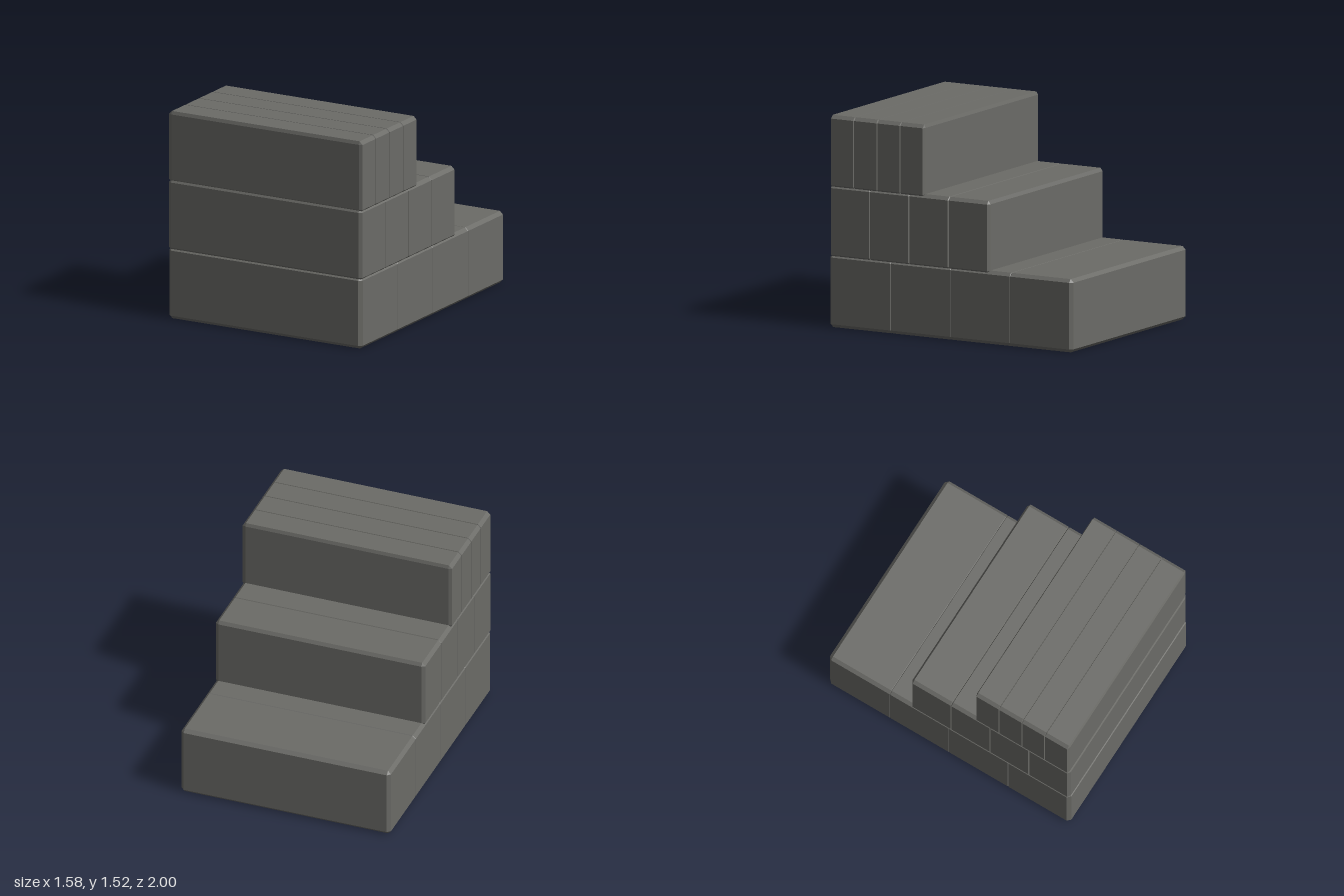
import * as THREE from 'three';
import { ConvexGeometry } from 'three/addons/geometries/ConvexGeometry.js';

// Box with bevelled edges; the bevel may differ along each axis
function bevelledBox(size, bevel) {
  const points = [];
  for (const sx of [-1, 1]) for (const sy of [-1, 1]) for (const sz of [-1, 1]) {
    const sign = [sx, sy, sz];
    for (let face = 0; face < 3; face++) {
      // full extent on one axis, pulled in by the bevel on the other two
      const p = sign.map((s, i) => s * (size[i] / 2 - (i === face ? 0 : bevel[i])));
      points.push(new THREE.Vector3(...p));
    }
  }
  return new ConvexGeometry(points);
}

export function createModel() {
  const group = new THREE.Group();
  group.name = 'blockSteps';
  const stone = new THREE.MeshStandardMaterial({ color: 0x6b6b67 });
  stone.name = 'grey stone';

  const width = 1.58, height = 0.525, rise = 0.4975, bevel = 0.024;

  // Each step is a row of four slightly overlapping blocks
  const steps = [
    { name: 'bottomStep', front: 1.0, depth: 0.53, pitch: 0.49 },
    { name: 'middleStep', front: 0.996, depth: 0.343, pitch: 0.323 },
    { name: 'topStep', front: 0.989, depth: 0.2, pitch: 0.19 },
  ];

  steps.forEach(({ name, front, depth, pitch }, level) => {
    const step = new THREE.Group();
    step.name = name;
    const geometry = bevelledBox([width, height, depth], [bevel, bevel, bevel * depth / 0.53]);
    for (let i = 0; i < 4; i++) {
      const block = new THREE.Mesh(geometry, stone);
      block.name = `${name}Block${i + 1}`;
      block.position.set(0, level * rise + height / 2, front - depth / 2 - i * pitch);
      step.add(block);
    }
    group.add(step);
  });

  return group;
}
